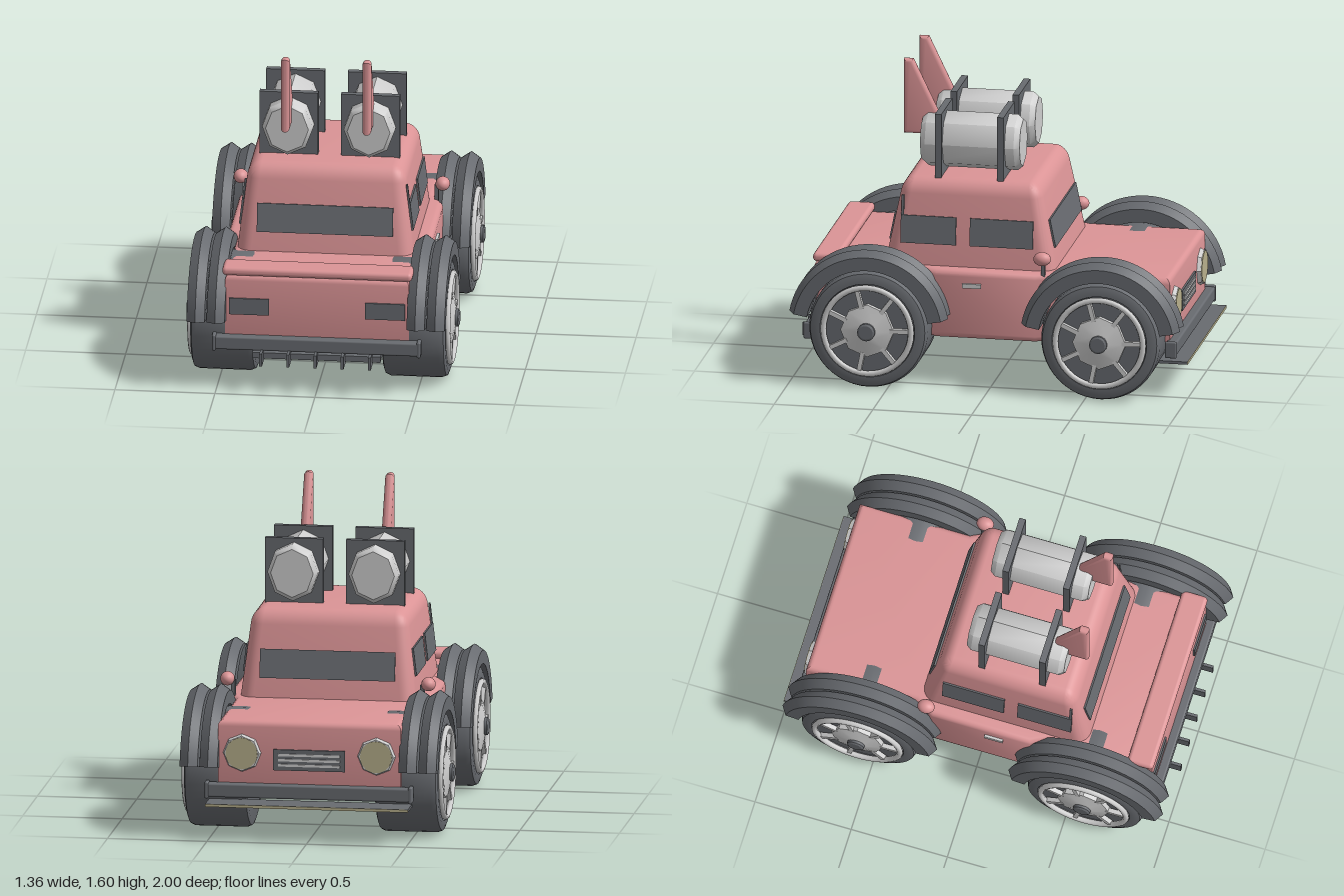
import * as THREE from 'three';
import { toCreasedNormals } from 'three/addons/utils/BufferGeometryUtils.js';
import { RoundedBoxGeometry } from 'three/addons/geometries/RoundedBoxGeometry.js';

const mat = (name, color) => {
  const m = new THREE.MeshStandardMaterial({ color });
  m.name = name;
  return m;
};
const V2 = (a) => a.map(([x, y]) => new THREE.Vector2(x, y));

export function createModel() {
  const paint = mat('pinkPaint', 0xdb9496);
  const dark = mat('darkGrey', 0x686b70);
  const metal = mat('lightMetal', 0xcfcfcf);
  const lamp = mat('lampGlass', 0xb8b08c);
  const root = new THREE.Group();
  root.name = 'car';

  const add = (name, geo, material, x = 0, y = 0, z = 0, parent = root) => {
    const m = new THREE.Mesh(geo, material);
    m.name = name;
    m.position.set(x, y, z);
    parent.add(m);
    return m;
  };
  const box = (name, material, w, h, d, x, y, z, parent) =>
    add(name, new THREE.BoxGeometry(w, h, d), material, x, y, z, parent);
  const rbox = (name, material, w, h, d, r, x, y, z) =>
    add(name, new RoundedBoxGeometry(w, h, d, 3, r), material, x, y, z);
  // solid of revolution about the x axis, profile as [radius, x]
  const turned = (profile, sides) =>
    new THREE.LatheGeometry(V2(profile), sides).rotateZ(-Math.PI / 2);

  // Lower body: plan outline, wider between the wheels, with rounded edges
  const b = 0.03;
  const plan = new THREE.Shape(V2([
    [-0.46 + b, -0.9 + b], [0.46 - b, -0.9 + b], [0.46 - b, -0.32], [0.51 - b, -0.22],
    [0.51 - b, 0.27], [0.46 - b, 0.36], [0.46 - b, 0.9 - b], [-0.46 + b, 0.9 - b],
    [-0.46 + b, 0.36], [-0.51 + b, 0.27], [-0.51 + b, -0.22], [-0.46 + b, -0.32],
  ].map(([x, z]) => [x, -z])));
  const bodyGeo = new THREE.ExtrudeGeometry(plan, {
    depth: 0.3525 - 2 * b, bevelThickness: b, bevelSize: b, bevelSegments: 4,
  }).rotateX(-Math.PI / 2);
  add('lowerBody', toCreasedNormals(bodyGeo, 0.6), paint, 0, 0.25 + b, 0);
  rbox('tailRail', paint, 0.95, 0.045, 0.135, 0.02, 0, 0.62, 0.84);

  // Cab: rounded box tapering towards the roof
  const cabGeo = new RoundedBoxGeometry(0.905, 0.535, 0.905, 5, 0.075);
  const cp = cabGeo.attributes.position;
  for (let i = 0; i < cp.count; i++) {
    const t = cp.getY(i) / 0.535 + 0.5;
    cp.setX(i, cp.getX(i) * (1 - 0.138 * t));
    cp.setZ(i, cp.getZ(i) * (1 - 0.236 * t));
  }
  cabGeo.computeVertexNormals();
  add('cab', toCreasedNormals(cabGeo, 0.6), paint, 0, 0.7675, 0.1225);

  // Windows lying on the sloped cab walls
  for (const s of [-1, 1]) {
    const screen = box('endWindow', dark, 0.68, 0.145, 0.0095, 0, 0.77, 0.1225 + s * 0.403);
    screen.rotation.x = -s * 0.197;
    for (const [z, w] of [[0.33, 0.28], [-0.04, 0.32]]) {
      const side = box('sideWindow', dark, 0.0095, 0.14, w, s * 0.424, 0.78, z);
      side.rotation.z = s * 0.116;
    }
    const pillar = box('windowPillar', dark, 0.0095, 0.24, 0.013, s * 0.417, 0.83, 0.462);
    pillar.rotation.z = s * 0.116;
  }

  // Roof barrels with clamp plates and upright fins
  const barrelGeo = new THREE.LatheGeometry(V2([
    [0, -0.252], [0.122, -0.252], [0.145, -0.225], [0.145, 0.225], [0.122, 0.252], [0, 0.252],
  ]), 8).rotateX(Math.PI / 2).scale(0.88, 1, 1);
  const fb = 0.02;
  const fin = new THREE.Shape(V2([
    [0.495 - fb, 1.215 + fb], [0.495 - fb, 1.6 - fb], [0.45 + fb / 2, 1.6 - fb],
    [0.32 + fb, 1.33], [0.32 + fb, 1.215 + fb],
  ]));
  const finGeo = toCreasedNormals(new THREE.ExtrudeGeometry(fin, {
    depth: 0.005, bevelThickness: fb, bevelSize: fb, bevelSegments: 4,
  }).translate(0, 0, -0.0025).rotateY(-Math.PI / 2), 0.7);
  for (const s of [-1, 1]) {
    const x = s * 0.204;
    add('roofBarrel', toCreasedNormals(barrelGeo, 0.83), metal, x, 1.195, 0.143);
    for (const z of [0.295, -0.02]) box('barrelClamp', dark, 0.293, 0.33, 0.033, x, 1.195, z);
    add('roofFin', finGeo, paint, x, 0, 0);
  }

  // Wheels
  const tyreGeo = toCreasedNormals(turned([
    [0, 0.32], [0.27, 0.32], [0.29, 0.327], [0.3, 0.35], [0.3, 0.605],
    [0.29, 0.63], [0.268, 0.638], [0.24, 0.638], [0.235, 0.62], [0, 0.62],
  ], 48), 0.7);
  const capGeo = toCreasedNormals(turned([[0.135, 0.62], [0.135, 0.645], [0.05, 0.663], [0, 0.663]], 8), 0.2);
  const hubGeo = toCreasedNormals(turned([[0.045, 0.64], [0.045, 0.676], [0.035, 0.682], [0, 0.682]], 16), 0.5);
  const ringGeo = new THREE.TorusGeometry(0.222, 0.015, 8, 40).rotateY(Math.PI / 2);

  // Mudguard: ridged section swept round the wheel
  const guard = (x0) => {
    const section = new THREE.Shape(V2([
      [x0, 0.31], [x0 + 0.09, 0.31], [x0 + 0.09, 0.378], [x0 + 0.045, 0.408], [x0, 0.378],
    ]));
    const g = new THREE.ExtrudeGeometry(section, { depth: 1, steps: 32, bevelEnabled: false });
    const p = g.attributes.position;
    for (let i = 0; i < p.count; i++) {
      const a = 0.175 + p.getZ(i) * (Math.PI - 0.35), r = p.getY(i);
      p.setXYZ(i, p.getX(i), r * Math.sin(a), -r * Math.cos(a));
    }
    return toCreasedNormals(g, 0.4);
  };
  const guards = [guard(0.455), guard(0.555)];

  for (const z of [0.598, -0.577]) for (const s of [-1, 1]) {
    const wheel = new THREE.Group();
    wheel.name = 'wheel';
    wheel.position.set(0, 0.305, z);
    wheel.rotation.y = s > 0 ? 0 : Math.PI;
    root.add(wheel);
    add('tyre', tyreGeo, dark, 0, 0, 0, wheel);
    add('rimRing', ringGeo, metal, 0.643, 0, 0, wheel);
    add('hubCap', capGeo, metal, 0, 0, 0, wheel);
    add('hub', hubGeo, dark, 0, 0, 0, wheel);
    for (let i = 0; i < 7; i++) {
      const a = (i / 7) * Math.PI * 2 + 0.25;
      const spoke = box('spoke', metal, 0.024, 0.11, 0.022,
        0.637, 0.17 * Math.cos(a), 0.17 * Math.sin(a), wheel);
      spoke.rotation.x = a;
    }
    for (const g of guards) add('mudguard', g, dark, 0, 0, 0, wheel);
  }

  // Bumpers at both ends
  for (const z of [0.915, -0.915]) {
    rbox('bumper', dark, 1.03, 0.07, 0.055, 0.01, 0, 0.253, z);
    for (const s of [-1, 1]) rbox('bumperEnd', dark, 0.02, 0.085, 0.06, 0.008, s * 0.512, 0.253, z);
  }
  // Tail: lamps, under-tray and vertical tines
  box('rearTray', dark, 0.64, 0.03, 0.2, 0, 0.19, 0.83);
  for (let i = -2; i <= 2; i++) box('tine', dark, 0.014, 0.066, 0.14, i * 0.136, 0.19, 0.925);
  for (const s of [-1, 1]) box('rearLamp', dark, 0.2, 0.085, 0.018, s * 0.34, 0.438, 0.9);

  // Nose: splitter, grille and round headlamps
  box('splitter', dark, 1.02, 0.014, 0.15, 0, 0.187, -0.923);
  box('splitterEdge', lamp, 1.02, 0.014, 0.004, 0, 0.187, -0.998);
  box('grille', dark, 0.36, 0.105, 0.02, 0, 0.41, -0.9);
  for (let i = -1; i <= 1; i++) box('grilleBar', metal, 0.31, 0.012, 0.008, 0, 0.41 + i * 0.026, -0.911);
  const bezelGeo = toCreasedNormals(new THREE.CylinderGeometry(0.1, 0.088, 0.03, 8).rotateX(Math.PI / 2), 0.2);
  const glassGeo = new THREE.CylinderGeometry(0.08, 0.08, 0.01, 20).rotateX(Math.PI / 2);
  for (const s of [-1, 1]) {
    add('headlampBezel', bezelGeo, metal, s * 0.338, 0.44, -0.905);
    add('headlampGlass', glassGeo, lamp, s * 0.338, 0.44, -0.919);

    // Door mirrors and handles
    const mirror = add('mirror', new THREE.SphereGeometry(1, 20, 14), paint, s * 0.505, 0.685, -0.262);
    mirror.scale.set(0.036, 0.035, 0.044);
    box('mirrorPost', dark, 0.02, 0.1, 0.02, s * 0.475, 0.63, -0.262);
    box('doorHandle', metal, 0.02, 0.022, 0.095, s * 0.513, 0.528, 0.093);
  }
  return root;
}
